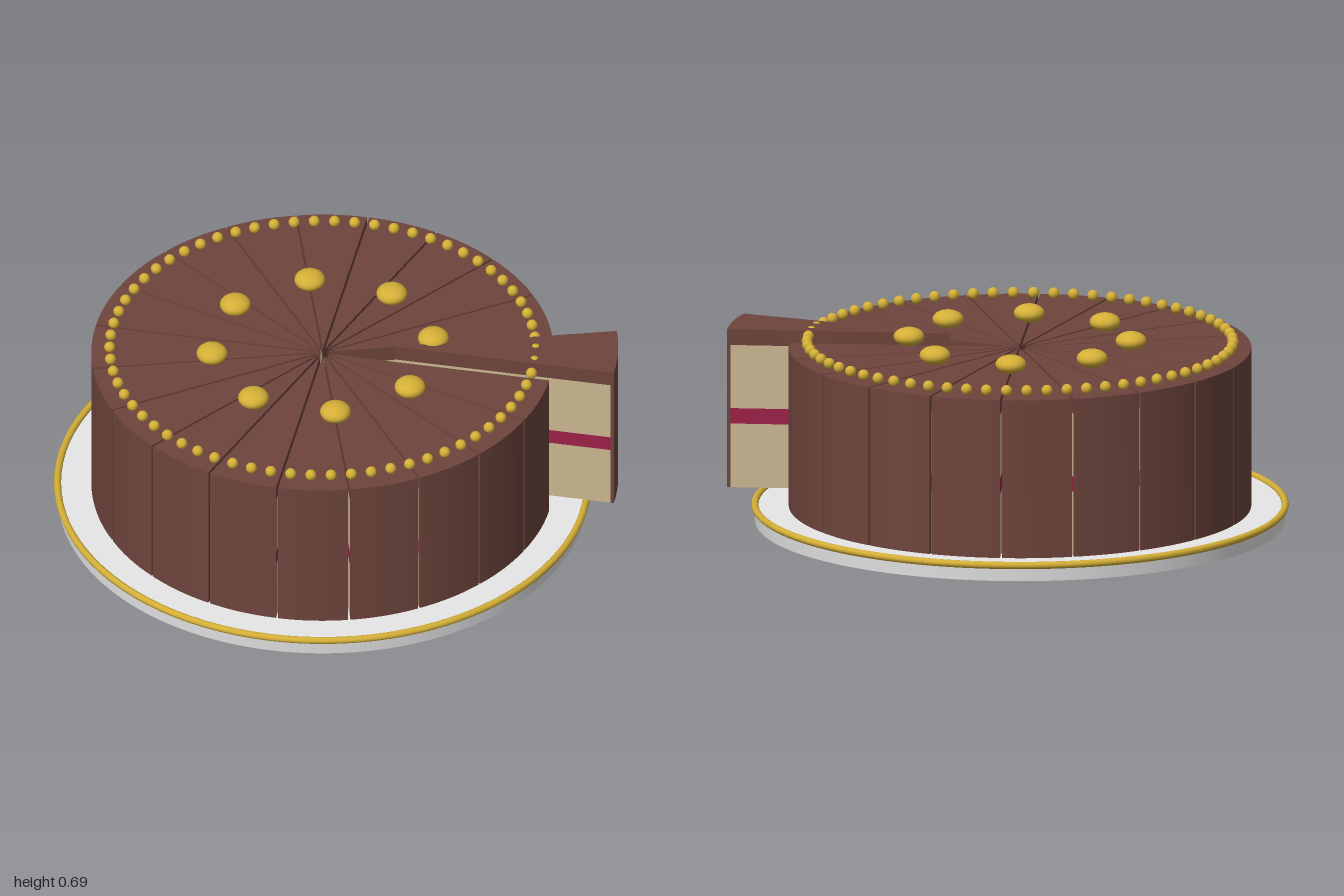
import * as THREE from 'three';
import { toCreasedNormals } from 'three/addons/utils/BufferGeometryUtils.js';

const CENTER_X = -0.045;
const SLICES = 20;
const STEP = (Math.PI * 2) / SLICES;
const RADIUS = 0.795; // slice length from tip to outer coat
const COAT = 0.012; // thickness of the outer coat
const BASE = 0.055; // top of the plate

const material = (name, color) => {
  const m = new THREE.MeshStandardMaterial({ color });
  m.name = name;
  return m;
};

// Extrudes a flat outline upwards from y0 to y1
function layer(shape, y0, y1) {
  const geo = new THREE.ExtrudeGeometry(shape, { depth: y1 - y0, bevelEnabled: false, curveSegments: 8 });
  geo.rotateX(-Math.PI / 2).translate(0, y0, 0);
  return toCreasedNormals(geo, 0.4);
}

// Outline of one slice, its bisector along +x
function wedge(radius) {
  const s = new THREE.Shape();
  s.moveTo(0, 0);
  s.lineTo(radius * Math.cos(STEP / 2), -radius * Math.sin(STEP / 2));
  s.absarc(0, 0, radius, -STEP / 2, STEP / 2, false);
  s.closePath();
  return s;
}

// Outline of the coat on the slice's outer end
function coatStrip() {
  const s = new THREE.Shape();
  s.absarc(0, 0, RADIUS, -STEP / 2, STEP / 2, false);
  s.absarc(0, 0, RADIUS - COAT, STEP / 2, -STEP / 2, true);
  s.closePath();
  return s;
}

export function createModel() {
  const chocolate = material('chocolate', 0x6e443c);
  const sponge = material('sponge', 0xccb892);
  const jam = material('jam', 0x9e2149);
  const gold = material('gold', 0xd4af37);
  const porcelain = material('porcelain', 0xf0f0f0);

  const cake = new THREE.Group();
  cake.name = 'cake';
  cake.position.x = CENTER_X;

  const add = (parent, name, geo, mat, x = 0, y = 0, z = 0) => {
    const mesh = new THREE.Mesh(geo, mat);
    mesh.name = name;
    mesh.position.set(x, y, z);
    parent.add(mesh);
    return mesh;
  };

  // Plate with gilded rim
  add(cake, 'plate', new THREE.CylinderGeometry(0.945, 0.94, BASE, 96), porcelain, 0, BASE / 2);
  const rim = new THREE.TorusGeometry(0.94, 0.013, 10, 96).rotateX(Math.PI / 2);
  add(cake, 'plateRim', rim, gold, 0, 0.057);

  // Layers shared by all slices
  const core = wedge(RADIUS - COAT);
  const parts = [
    ['lowerSponge', layer(core, 0, 0.232), sponge],
    ['jamFilling', layer(core, 0.232, 0.288), jam],
    ['upperSponge', layer(core, 0.288, 0.518), sponge],
    ['glaze', layer(core, 0.518, 0.575), chocolate],
    ['outerCoat', layer(coatStrip(), 0, 0.575), chocolate],
  ];

  // Slices stand slightly apart; the first is lifted and pulled out
  for (let i = 0; i < SLICES; i++) {
    const pulled = i === 0;
    const angle = (i + 0.5) * STEP;
    const shift = pulled ? 0.253 : 0.025;
    const slice = new THREE.Group();
    slice.name = pulled ? 'pulledSlice' : 'slice';
    slice.rotation.y = angle;
    slice.position.set(Math.cos(angle) * shift, BASE + (pulled ? 0.035 : 0), -Math.sin(angle) * shift);
    for (const [name, geo, mat] of parts) add(slice, name, geo, mat);
    cake.add(slice);
  }

  // Ring of beads along the top edge
  const bead = new THREE.SphereGeometry(0.02, 12, 8);
  for (let i = 0; i < 66; i++) {
    const a = (i / 66) * Math.PI * 2;
    add(cake, 'bead', bead, gold, Math.cos(a) * 0.755, 0.65, -Math.sin(a) * 0.755);
  }

  // Eight flattened buttons on top
  const button = new THREE.SphereGeometry(0.055, 24, 14).scale(1, 0.6, 1);
  for (let i = 0; i < 8; i++) {
    const a = STEP + (i * Math.PI) / 4;
    add(cake, 'button', button, gold, Math.cos(a) * 0.395, 0.661, -Math.sin(a) * 0.395);
  }

  const model = new THREE.Group();
  model.name = 'slicedCake';
  model.add(cake);
  return model;
}
